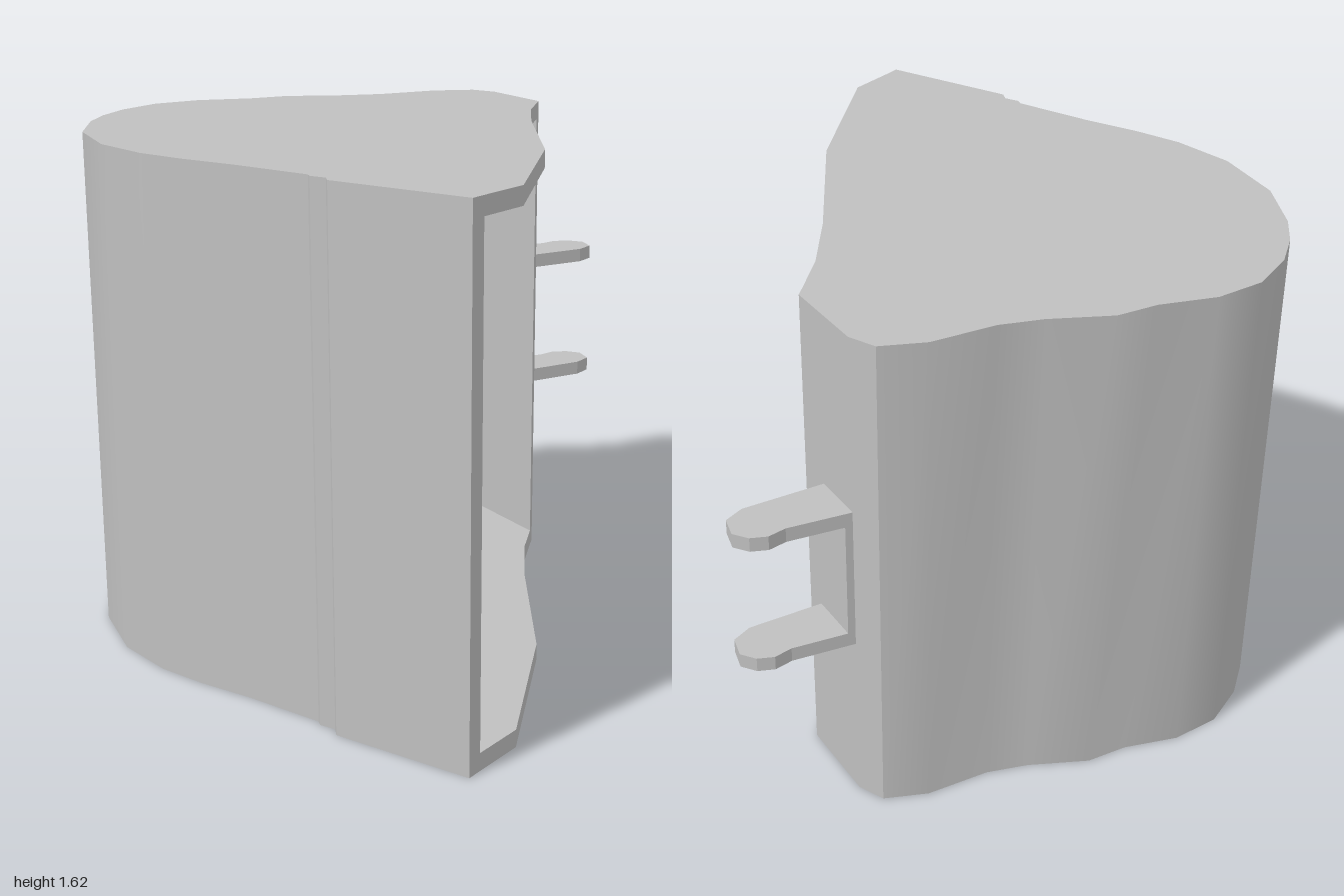
import * as THREE from 'three';
import { toCreasedNormals } from 'three/addons/utils/BufferGeometryUtils.js';

const HEIGHT = 1.615, PLATE = 0.055, WALL = 0.05;

// Outer wall outline [x, z], from the right mouth corner round the back to the left one
const outer = [
  [0.62, -0.15], [0.68, -0.43], [0.66, -0.52], [0.54, -0.6], [0.34, -0.655],
  [0.22, -0.72], [0.06, -0.84], [-0.07, -0.875], [-0.23, -0.96], [-0.39, -0.985],
  [-0.55, -0.94], [-0.67, -0.87], [-0.77, -0.785], [-0.91, -0.61], [-0.995, -0.37],
  [-1, -0.16], [-0.97, 0], [-0.92, 0.18], [-0.865, 0.44], [-0.875, 0.46],
  [-0.86, 0.51], [-0.88, 0.54], [-0.77, 0.98],
];
// Front edge of the mouth, left corner to right corner
const mouth = [
  [-0.77, 0.98], [-0.72, 0.97], [-0.55, 0.94], [-0.1, 0.58],
  [0.27, 0.16], [0.45, -0.02], [0.58, -0.12], [0.62, -0.15],
];

// Vertical wall strip along a path
function strip(path, y0, y1) {
  const pos = [];
  for (let i = 0; i < path.length - 1; i++) {
    const [ax, az] = path[i], [bx, bz] = path[i + 1];
    pos.push(ax, y0, az, bx, y0, bz, bx, y1, bz, ax, y0, az, bx, y1, bz, ax, y1, az);
  }
  const g = new THREE.BufferGeometry();
  g.setAttribute('position', new THREE.Float32BufferAttribute(pos, 3));
  g.computeVertexNormals();
  return toCreasedNormals(g, 0.6);
}

// Horizontal face filling a loop, facing up or down
function face(loop, y, up) {
  const s = up ? -1 : 1;
  const g = new THREE.ShapeGeometry(new THREE.Shape(loop.map(([x, z]) => new THREE.Vector2(x, s * z))));
  return g.rotateX(s * Math.PI / 2).translate(0, y, 0);
}

// Solid slab with a plan outline between two heights
function slab(loop, y0, y1) {
  const shape = new THREE.Shape(loop.map(([x, z]) => new THREE.Vector2(x, z)));
  return new THREE.ExtrudeGeometry(shape, { depth: y1 - y0, bevelEnabled: false })
    .rotateX(Math.PI / 2).translate(0, y1, 0);
}

// Path moved inwards by the wall thickness
function inset(path) {
  return path.map(([x, z], i) => {
    const a = path[Math.max(i - 1, 0)], b = path[Math.min(i + 1, path.length - 1)];
    const dx = b[0] - a[0], dz = b[1] - a[1], l = Math.hypot(dx, dz);
    return [x + dz / l * WALL, z - dx / l * WALL];
  });
}

export function createModel() {
  const model = new THREE.Group();
  const grey = new THREE.MeshStandardMaterial({ color: 0xbfbfbf });
  grey.name = 'plain grey';
  const add = (name, geometry, parent = model) => {
    const mesh = new THREE.Mesh(geometry, grey);
    mesh.name = name;
    parent.add(mesh);
  };

  // Curved shell
  const inner = inset(outer);
  inner[0] = mouth[6];
  inner[inner.length - 1] = mouth[1];
  const low = PLATE, high = HEIGHT - PLATE;
  add('outerWall', strip(outer, 0, HEIGHT));
  add('innerWall', strip([...inner].reverse(), low, high));

  // End plates and the inside of the cavity
  const plan = [...outer, ...mouth.slice(1, -1)];
  const cavity = [...inner, ...mouth.slice(2, 6)];
  add('topPlate', face(plan, HEIGHT, true));
  add('bottomPlate', face(plan, 0, false));
  add('cavityFloor', face(cavity, low, true));
  add('cavityCeiling', face(cavity, high, false));

  // Rim round the mouth
  add('lowerRim', strip(mouth, 0, low));
  add('upperRim', strip(mouth, high, HEIGHT));
  add('leftRimEdge', strip(mouth.slice(0, 2), low, high));
  add('rightRimEdge', strip(mouth.slice(6), low, high));

  // Hinge bracket: a mounting web with two rounded lugs
  const bracket = new THREE.Group();
  bracket.name = 'hingeBracket';
  model.add(bracket);
  const lug = [
    [0.643, -0.26], [0.68, -0.43], [0.87, -0.362], [0.93, -0.36],
    [0.975, -0.33], [0.998, -0.28], [0.968, -0.215], [0.9, -0.2],
  ];
  add('lowerLug', slab(lug, 0.572, 0.618), bracket);
  add('upperLug', slab(lug, 1.0, 1.046), bracket);
  add('bracketWeb', slab([[0.643, -0.26], [0.68, -0.43], [0.702, -0.422], [0.665, -0.255]], 0.618, 1.0), bracket);

  return model;
}
